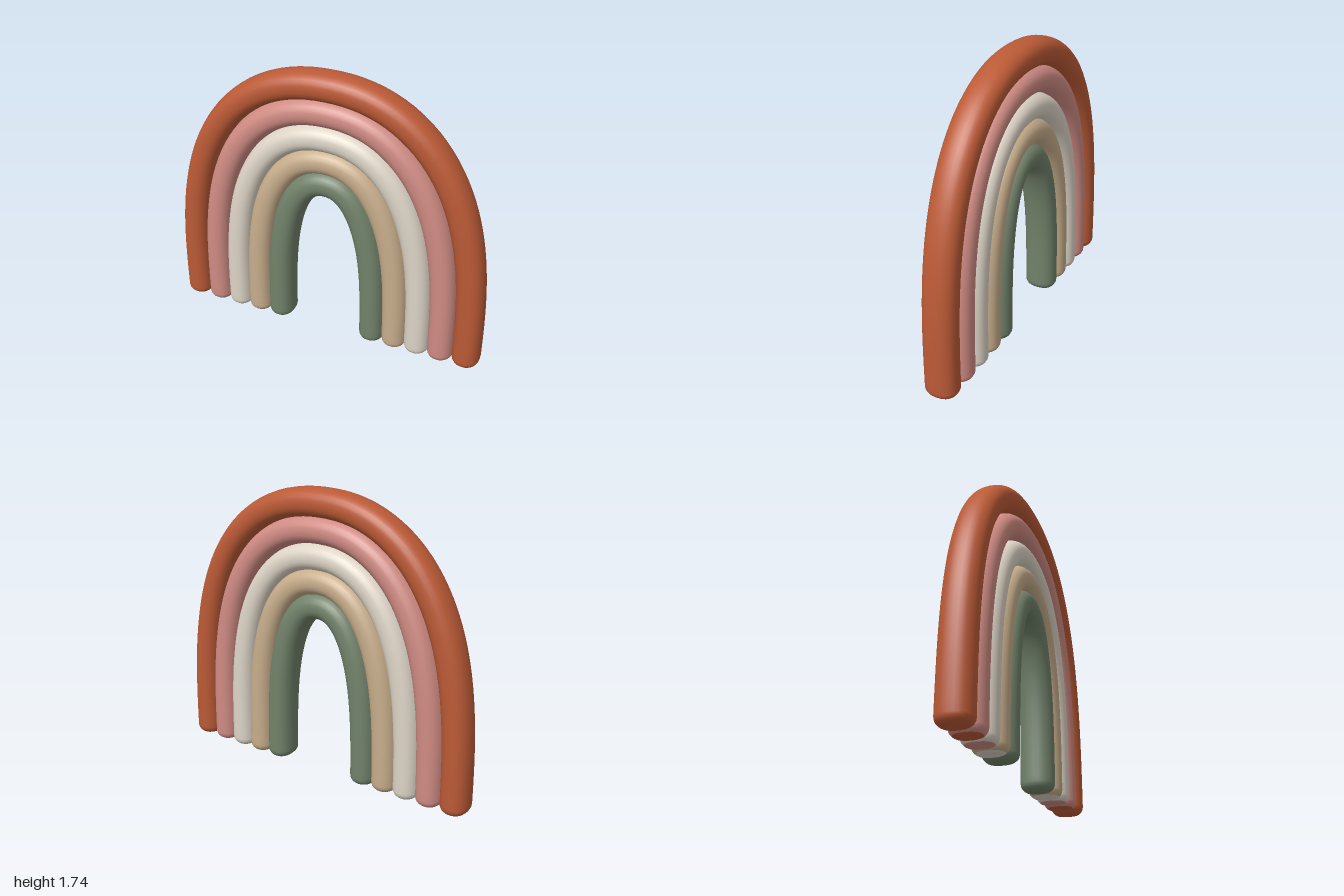
import * as THREE from 'three';

const material = (name, color) => new THREE.MeshStandardMaterial({ name, color });

// Half of an oval-topped arch centreline: foot x = a, apex y = h
function archCurve(a, h) {
  const points = [];
  const n = 48;
  for (let i = 0; i <= n; i++) {
    const u = (i / n) * 2 - 1;
    // even steps in height near the feet, in angle near the top
    const angle = Math.PI / 2 * (1 - Math.pow(1 - Math.abs(u), 1.5));
    const y = h * Math.pow(Math.max(0, Math.cos(angle)), 2 / 3);
    const x = a * Math.sign(u) * Math.pow(Math.sin(angle), 2 / 2.2);
    points.push(new THREE.Vector3(x, i === 0 || i === n ? 0 : y, 0));
  }
  return new THREE.CatmullRomCurve3(points, false, 'centripetal');
}

// Oval tube swept along the arch, with rounded feet; group 1 holds the foot soles
function bandGeometry(a, h, halfWidth, halfDepth) {
  const curve = archCurve(a, h);
  curve.arcLengthDivisions = 600;
  const length = curve.getLength();
  const round = 0.05, sides = 28, steps = 72, arcSteps = 5;

  // Stations along the tube: distance and inset of the cross-section
  const start = [];
  for (let i = 0; i <= arcSteps; i++) {
    const q = (i / arcSteps) * Math.PI / 2;
    start.push([round * (1 - Math.sin(q)), round * (1 - Math.cos(q))]);
  }
  start.reverse();
  const foot = start.map(([, inset], i) => {
    const q = (i / arcSteps) * Math.PI / 2;
    return [round * (1 - Math.cos(q)), round * (1 - Math.sin(q))];
  });
  const stations = [...foot];
  for (let i = 1; i < steps; i++) stations.push([round + (length - 2 * round) * i / steps, 0]);
  for (const [s, inset] of [...foot].reverse()) stations.push([length - s, inset]);

  const positions = [], body = [], soles = [];
  const soften = (v) => Math.sign(v) * Math.pow(Math.abs(v), 0.88);
  for (const [s, inset] of stations) {
    const p = curve.getPointAt(s / length);
    const t = curve.getTangentAt(s / length);
    for (let j = 0; j < sides; j++) {
      const phi = (j / sides) * Math.PI * 2;
      const n = soften(Math.cos(phi)) * (halfWidth - inset);
      const z = soften(Math.sin(phi)) * (halfDepth - inset);
      positions.push(p.x - t.y * n, p.y + t.x * n, z);
    }
  }
  const last = stations.length - 1;
  for (let i = 0; i < last; i++) {
    const target = i < 2 || i >= last - 2 ? soles : body;
    for (let j = 0; j < sides; j++) {
      const k = (j + 1) % sides;
      const p = i * sides + j, q = i * sides + k;
      target.push(p, q, p + sides, q, q + sides, p + sides);
    }
  }
  // Flat underside of each foot
  const centre = positions.length / 3;
  positions.push(-a, 0, 0, a, 0, 0);
  for (let j = 0; j < sides; j++) {
    const k = (j + 1) % sides;
    soles.push(centre, k, j, centre + 1, last * sides + j, last * sides + k);
  }

  const geometry = new THREE.BufferGeometry();
  geometry.setAttribute('position', new THREE.Float32BufferAttribute(positions, 3));
  geometry.setIndex([...body, ...soles]);
  geometry.addGroup(0, body.length, 0);
  geometry.addGroup(body.length, soles.length, 1);
  geometry.computeVertexNormals();
  return geometry;
}

export function createModel() {
  const model = new THREE.Group();
  model.name = 'rainbowArch';

  const terracotta = material('terracotta', 0xbb5a36);
  const pink = material('dusty pink', 0xcf8b83);
  const cream = material('cream', 0xddd4c6);
  const tan = material('tan', 0xc7ad8b);
  const green = material('sage green', 0x71826a);

  // name, colour, sole colour, foot x, apex y, half width
  const bands = [
    ['outerBand', terracotta, terracotta, 0.915, 1.655, 0.085],
    ['secondBand', pink, terracotta, 0.755, 1.5, 0.082],
    ['middleBand', cream, pink, 0.605, 1.344, 0.081],
    ['fourthBand', tan, cream, 0.458, 1.199, 0.081],
    ['innerBand', green, green, 0.31, 1.052, 0.082],
  ];
  for (const [name, colour, sole, a, h, halfWidth] of bands) {
    const mesh = new THREE.Mesh(bandGeometry(a, h, halfWidth, 0.1), [colour, sole]);
    mesh.name = name;
    model.add(mesh);
  }
  return model;
}
